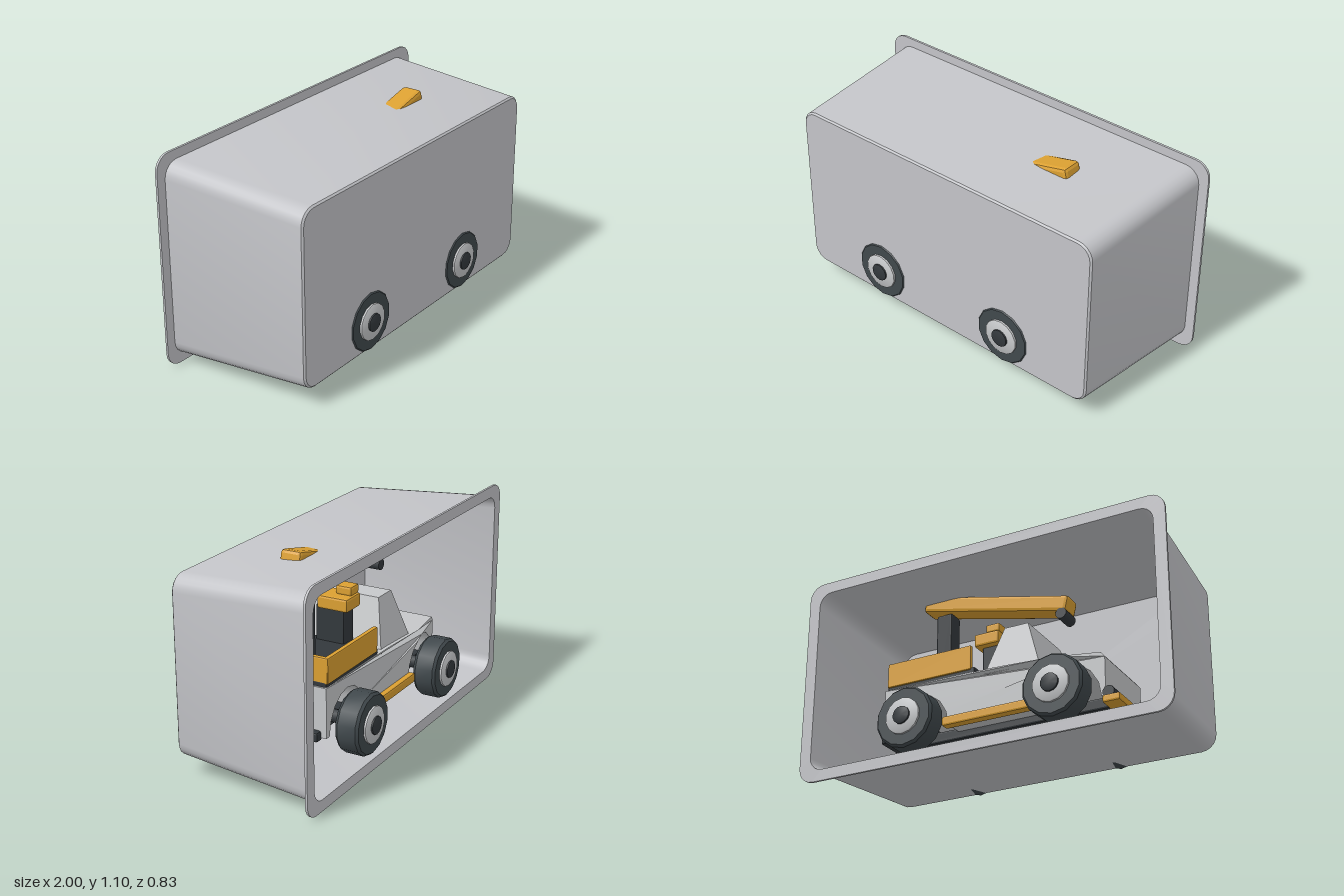
import * as THREE from 'three';
import { toCreasedNormals } from 'three/addons/utils/BufferGeometryUtils.js';
import { RoundedBoxGeometry } from 'three/addons/geometries/RoundedBoxGeometry.js';

const paint = (name, color) => {
  const m = new THREE.MeshStandardMaterial({ color });
  m.name = name;
  return m;
};

// Outline of a rounded rectangle, counter-clockwise seen from +z
function roundedRing(hw, hh, r, z, cy) {
  const ring = [];
  const signs = [[1, 1], [-1, 1], [-1, -1], [1, -1]];
  signs.forEach(([sx, sy], corner) => {
    for (let i = 0; i <= 5; i++) {
      const a = (corner + i / 5) * Math.PI / 2;
      ring.push([sx * (hw - r) + r * Math.cos(a), cy + sy * (hh - r) + r * Math.sin(a), z]);
    }
  });
  return ring;
}

// Skin through a list of equal-sized rings
function skin(rings) {
  const n = rings[0].length;
  const index = [];
  for (let k = 0; k < rings.length - 1; k++) {
    for (let i = 0; i < n; i++) {
      const a = k * n + i, b = k * n + (i + 1) % n;
      index.push(a, a + n, b, b, a + n, b + n);
    }
  }
  const geo = new THREE.BufferGeometry();
  geo.setAttribute('position', new THREE.Float32BufferAttribute(rings.flat(2), 3));
  geo.setIndex(index);
  return toCreasedNormals(geo, 0.5);
}

export function createModel() {
  const model = new THREE.Group();
  model.name = 'truckInTray';
  const trayGrey = paint('trayGrey', 0xc3c4c8);
  const bodyGrey = paint('bodyGrey', 0xc6c8ca);
  const amber = paint('amber', 0xdba032);
  const tyreGrey = paint('tyreGrey', 0x40484c);
  const dark = paint('darkGrey', 0x33383c);

  const add = (name, geo, mat, x = 0, y = 0, z = 0, parent = model) => {
    const mesh = new THREE.Mesh(geo, mat);
    mesh.name = name;
    mesh.position.set(x, y, z);
    parent.add(mesh);
    return mesh;
  };
  // Chamfered box
  const box = (name, mat, w, h, d, x, y, z, bevel = 0.01) =>
    add(name, toCreasedNormals(new RoundedBoxGeometry(w, h, d, 1, bevel), 0.3), mat, x, y, z);

  // Tray: front panel, tapered walls, flange and inside, as one closed skin
  const sections = [
    [0.001, 0.001, 0.0005, 0.383],
    [0.897, 0.447, 0.072, 0.383],
    [0.906, 0.456, 0.08, 0.375],
    [0.95, 0.503, 0.08, -0.374],
    [1.0, 0.55, 0.08, -0.374],
    [1.0, 0.55, 0.08, -0.386],
    [0.938, 0.491, 0.07, -0.386],
    [0.893, 0.443, 0.07, 0.371],
    [0.001, 0.001, 0.0005, 0.371],
  ];
  add('tray', skin(sections.map(([w, h, r, z]) => roundedRing(w, h, r, z, 0.552))), trayGrey);

  // Truck body: side outline with wheel arches, nose narrowed in plan
  const side = new THREE.Shape();
  side.moveTo(0.6, 0.22);
  side.lineTo(0.6, 0.475);
  side.lineTo(-0.02, 0.47);
  side.lineTo(-0.34, 0.455);
  side.lineTo(-0.57, 0.445);
  side.lineTo(-0.59, 0.42);
  side.lineTo(-0.59, 0.22);
  for (const cx of [-0.4, 0.4]) {
    for (let i = 0; i <= 8; i++) {
      const a = Math.PI * (1 - i / 8);
      side.lineTo(cx + 0.17 * Math.cos(a), 0.22 + 0.19 * Math.sin(a));
    }
  }
  const bodyGeo = new THREE.ExtrudeGeometry(side, { depth: 0.5, bevelEnabled: false });
  bodyGeo.translate(0, 0, -0.25);
  const p = bodyGeo.attributes.position;
  for (let i = 0; i < p.count; i++) {
    const t = Math.max(0, (-0.34 - p.getX(i)) / 0.25);
    p.setZ(i, p.getZ(i) * (1 - 0.18 * t));
  }
  add('truckBody', toCreasedNormals(bodyGeo, 0.4), bodyGrey);

  // Cab: a box drawn in towards the roof
  const cabGeo = new THREE.BoxGeometry(1, 1, 1);
  const c = cabGeo.attributes.position;
  for (let i = 0; i < c.count; i++) {
    const top = c.getY(i) > 0, front = c.getX(i) < 0;
    const x = top ? (front ? -0.17 : -0.04) : (front ? -0.26 : 0.04);
    c.setXYZ(i, x, top ? 0.71 : 0.45, Math.sign(c.getZ(i)) * (top ? 0.175 : 0.235));
  }
  cabGeo.computeVertexNormals();
  add('cab', cabGeo, bodyGrey);

  // Load bed with three rails
  box('bedFloor', dark, 0.5, 0.04, 0.49, 0.34, 0.485, 0);
  box('rearRail', amber, 0.025, 0.13, 0.5, 0.577, 0.555, 0, 0.006);
  for (const s of [-1, 1]) {
    box('sideRail', amber, 0.48, 0.13, 0.025, 0.348, 0.555, s * 0.24, 0.006);
    box('sill', amber, 0.5, 0.05, 0.05, 0, 0.23, s * 0.255);
  }

  // Crane post, boom and its end roller
  box('post', dark, 0.09, 0.46, 0.09, 0.39, 0.72, 0);
  box('boom', amber, 0.85, 0.09, 0.112, 0.09, 0.936, 0, 0.018).rotation.z = 0.232;
  const roller = add('boomRoller', new THREE.CylinderGeometry(0.03, 0.03, 0.11, 10), dark, -0.29, 0.79, 0);
  roller.rotation.x = Math.PI / 2;

  // Control box on its stand
  box('controlStand', dark, 0.1, 0.22, 0.16, 0.09, 0.58, 0);
  box('controlBox', amber, 0.14, 0.07, 0.17, 0.1, 0.715, -0.03, 0.012);
  box('controlTop', amber, 0.08, 0.05, 0.09, 0.07, 0.77, -0.06, 0.012);

  // Chassis and bumpers
  box('chassis', dark, 1.16, 0.06, 0.3, 0, 0.21, 0);
  box('rearBumper', dark, 0.05, 0.05, 0.44, 0.61, 0.23, 0);
  box('frontBumper', amber, 0.09, 0.04, 0.5, -0.635, 0.185, 0);
  const bar = add('frontBar', new THREE.CylinderGeometry(0.03, 0.03, 0.44, 10), dark, -0.61, 0.232, 0);
  bar.rotation.x = Math.PI / 2;

  // Wheels: chamfered tyre, pale rim and dark cap, plus axles
  const lathe = (points) => toCreasedNormals(
    new THREE.LatheGeometry(points.map(([r, y]) => new THREE.Vector2(r, y)), 14), 0.6);
  const tyreGeo = lathe([[0, 0], [0.14, 0], [0.158, 0.02], [0.158, 0.115], [0.147, 0.128], [0, 0.128]]);
  const rimGeo = lathe([[0, 0], [0.094, 0], [0.094, 0.012], [0.088, 0.016], [0, 0.016]]);
  const capGeo = lathe([[0, 0], [0.046, 0], [0.046, 0.01], [0.04, 0.013], [0, 0.013]]);
  for (const x of [-0.4, 0.4]) {
    const axle = add('axle', new THREE.CylinderGeometry(0.035, 0.035, 0.56, 8), dark, x, 0.247, 0);
    axle.rotation.x = Math.PI / 2;
    for (const s of [-1, 1]) {
      const wheel = new THREE.Group();
      wheel.name = 'wheel';
      wheel.position.set(x, 0.247, s * 0.261);
      wheel.rotation.x = s * Math.PI / 2;
      add('tyre', tyreGeo, tyreGrey, 0, 0, 0, wheel);
      add('rim', rimGeo, bodyGrey, 0, 0.126, 0, wheel);
      add('hubCap', capGeo, dark, 0, 0.14, 0, wheel);
      model.add(wheel);
    }
  }
  return model;
}
